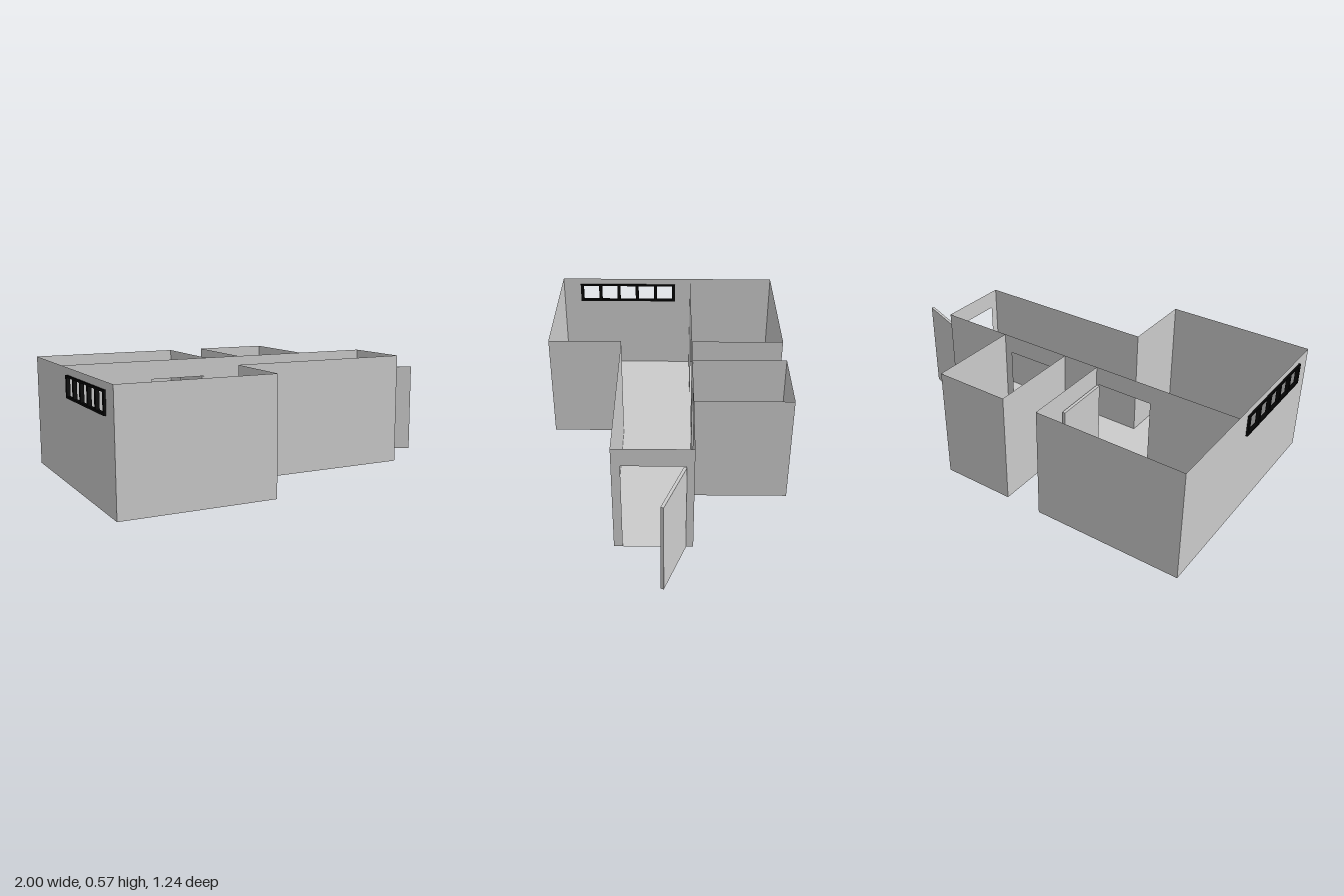
import * as THREE from 'three';

const H = 0.575, DOOR_H = 0.48;
const grey = new THREE.MeshStandardMaterial({ color: 0xcccccc, side: THREE.DoubleSide });
const black = new THREE.MeshStandardMaterial({ color: 0x050505 });

export function createModel() {
  const model = new THREE.Group();

  const add = (name, geometry, material = grey, parent = model) => {
    const mesh = new THREE.Mesh(geometry, material);
    mesh.name = name;
    parent.add(mesh);
    return mesh;
  };

  const box = (name, x0, x1, y0, y1, z0, z1, material, parent) => {
    const mesh = add(name, new THREE.BoxGeometry(x1 - x0, y1 - y0, z1 - z0), material, parent);
    mesh.position.set((x0 + x1) / 2, (y0 + y1) / 2, (z0 + z1) / 2);
    return mesh;
  };

  // Paper-thin wall from (x0, z0) to (x1, z1); doors are [start, end] along it
  const wall = (name, x0, z0, x1, z1, doors = [], windowRect = null) => {
    const length = Math.hypot(x1 - x0, z1 - z0);
    const s = new THREE.Shape();
    s.moveTo(0, 0);
    for (const [a, b] of doors) {
      s.lineTo(a, 0);
      s.lineTo(a, DOOR_H);
      s.lineTo(b, DOOR_H);
      s.lineTo(b, 0);
    }
    s.lineTo(length, 0);
    s.lineTo(length, H);
    s.lineTo(0, H);
    s.closePath();
    if (windowRect) {
      const [a, b, y0, y1] = windowRect;
      s.holes.push(new THREE.Path([[a, y0], [a, y1], [b, y1], [b, y0]].map(p => new THREE.Vector2(...p))));
    }
    const mesh = add(name, new THREE.ShapeGeometry(s));
    mesh.position.set(x0, 0, z0);
    mesh.rotation.y = -Math.atan2(z1 - z0, x1 - x0);
  };

  // Floor following the plan of the rooms
  const plan = [[-0.99, 0.62], [-0.23, 0.62], [-0.23, 0.235], [0.72, 0.235], [0.72, -0.14], [0.34, -0.14],
    [0.34, -0.62], [-0.04, -0.62], [-0.04, -0.14], [-0.23, -0.14], [-0.23, -0.62], [-0.99, -0.62]];
  const floor = add('floor', new THREE.ShapeGeometry(
    new THREE.Shape(plan.map(([x, z]) => new THREE.Vector2(x, -z)))));
  floor.rotation.x = -Math.PI / 2;

  // Outer walls
  wall('windowWall', -0.99, -0.62, -0.99, 0.62, [], [0.57, 1.14, 0.43, 0.54]);
  wall('livingRoomFrontWall', -0.99, 0.62, -0.23, 0.62);
  wall('livingRoomSideWall', -0.23, 0.62, -0.23, 0.235);
  wall('hallFrontWall', -0.23, 0.235, 0.72, 0.235);
  wall('entranceWall', 0.72, 0.235, 0.72, -0.14, [[0.042, 0.338]]);
  wall('bedroomBackWall', -0.99, -0.62, -0.23, -0.62);
  wall('bedroomSideWall', -0.23, -0.62, -0.23, -0.14);
  wall('smallRoomBackWall', -0.04, -0.62, 0.34, -0.62);
  wall('smallRoomRightWall', -0.04, -0.62, -0.04, -0.14);
  wall('smallRoomLeftWall', 0.34, -0.62, 0.34, -0.14);

  // Long inner wall with the bedroom and small room doorways
  wall('dividingWall', -0.99, -0.14, 0.72, -0.14, [[0.455, 0.747], [0.995, 1.29]]);

  // Black window frame with five panes
  const frame = new THREE.Group();
  frame.name = 'windowFrame';
  model.add(frame);
  const z0 = -0.05, z1 = 0.52, bar = 0.018;
  for (let i = 0; i <= 5; i++) {
    const z = z0 + (z1 - z0 - bar) * i / 5;
    box('windowPost', -1, -0.982, 0.43, 0.54, z, z + bar, black, frame);
  }
  box('windowSill', -1, -0.982, 0.43, 0.44, z0, z1, black, frame);
  box('windowHead', -1, -0.982, 0.53, 0.54, z0, z1, black, frame);

  // Door leaves, each turned about its hinge
  const door = (name, x, z, angle) => {
    const geometry = new THREE.BoxGeometry(0.29, DOOR_H - 0.004, 0.015);
    geometry.translate(0.145, DOOR_H / 2, 0);
    const mesh = add(name, geometry);
    mesh.position.set(x, 0, z);
    mesh.rotation.y = angle;
  };
  door('entranceDoor', 0.724, -0.098, -0.355);
  door('bedroomDoor', -0.243, -0.145, Math.PI / 2 + 0.012);

  // Counter at the back of the small room
  box('counter', -0.04, 0.34, 0, 0.2, -0.62, -0.48);
  box('counterBacksplash', -0.04, 0.34, 0.2, 0.28, -0.62, -0.614);
  box('counterFrontUnit', -0.035, 0.105, 0, 0.17, -0.48, -0.43);

  return model;
}
